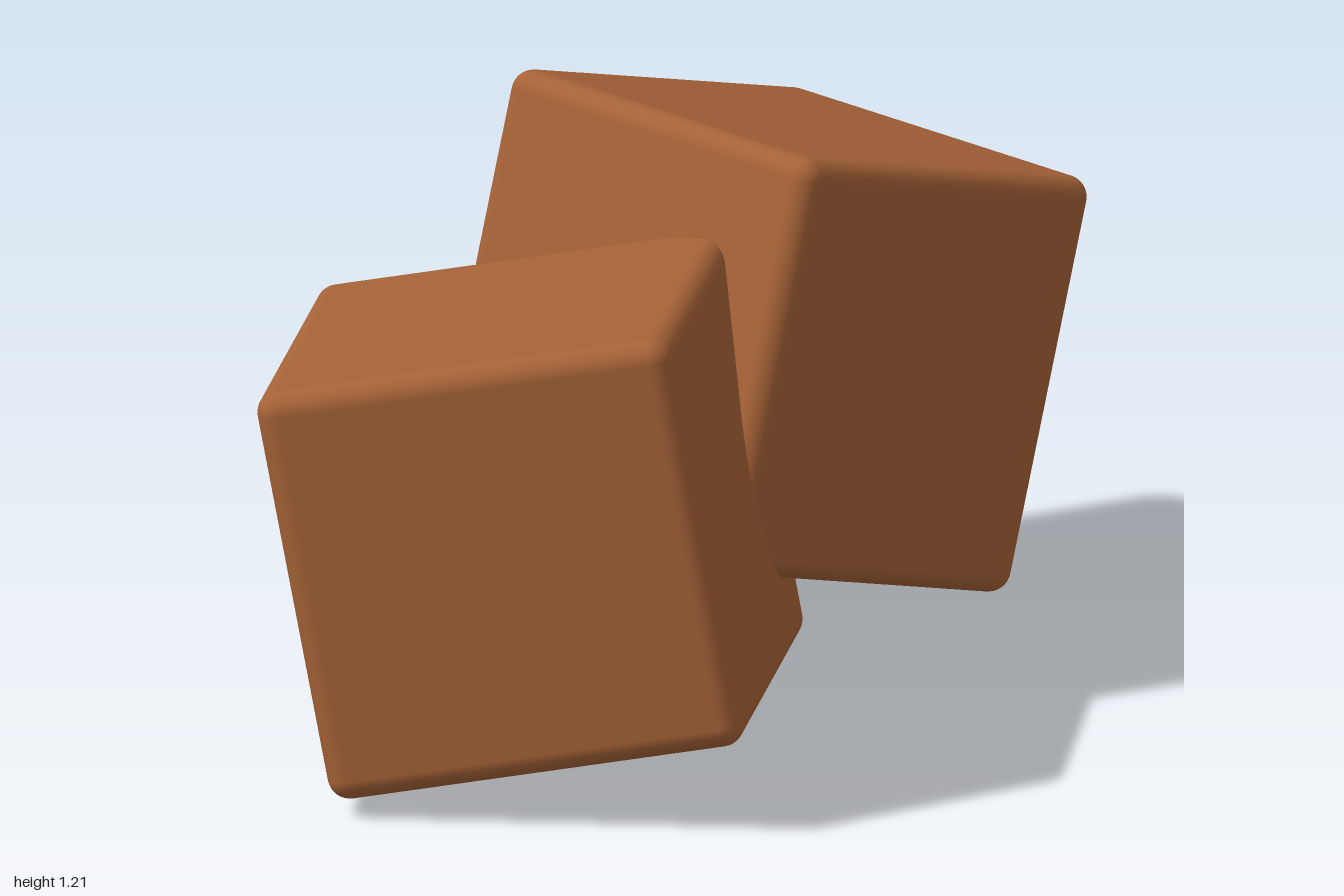
import * as THREE from 'three';
import { RoundedBoxGeometry } from 'three/addons/geometries/RoundedBoxGeometry.js';

const SIZE = 0.875;
const EDGE_RADIUS = 0.046;

export function createModel() {
  const model = new THREE.Group();
  model.name = 'tumbledCubes';

  const geometry = new RoundedBoxGeometry(SIZE, SIZE, SIZE, 5, EDGE_RADIUS);
  const material = new THREE.MeshStandardMaterial({ color: 0xa56237 });

  // Places one cube, tilted so its own right and up axes follow the given directions
  function addCube(name, position, right, up) {
    const x = new THREE.Vector3(...right).normalize();
    const z = x.clone().cross(new THREE.Vector3(...up)).normalize();
    const y = z.clone().cross(x);
    const cube = new THREE.Mesh(geometry, material);
    cube.name = name;
    cube.position.set(...position);
    cube.quaternion.setFromRotationMatrix(new THREE.Matrix4().makeBasis(x, y, z));
    model.add(cube);
  }

  // Lower cube, leaning to its right
  addCube('frontCube', [-0.097, 0.528, 0.485], [0.953, 0.192, -0.232], [-0.196, 0.981, 0]);

  // Raised cube, tipped backward and pressed into the front one
  addCube('backCube', [0.075, 0.685, -0.352], [0.921, 0, 0.39], [0.111, 0.96, -0.258]);

  return model;
}
